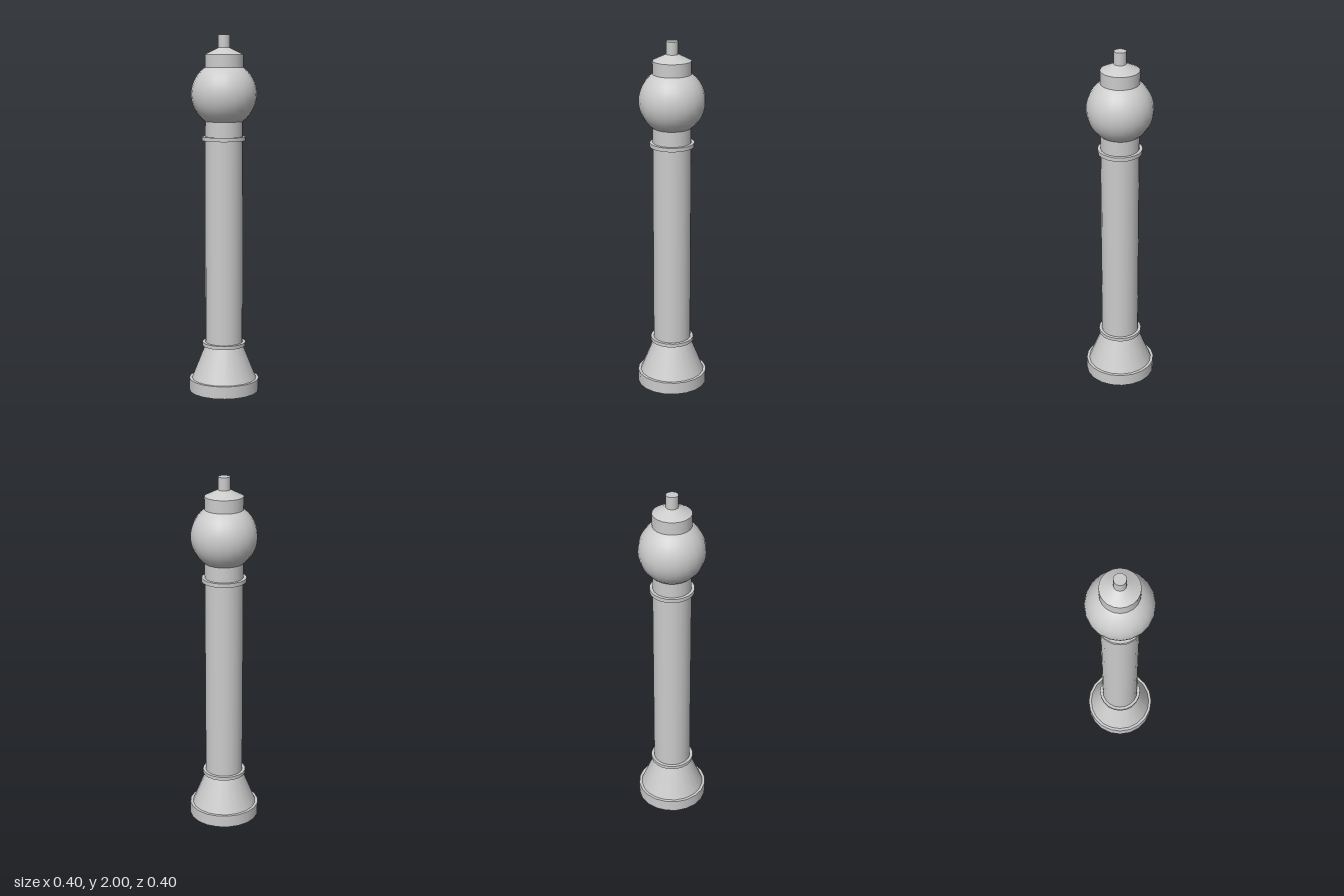
import * as THREE from 'three';

const SIDES = 20;

export function createModel() {
  const group = new THREE.Group();
  const material = new THREE.MeshStandardMaterial({ color: 0xcccccc });

  const add = (name, geometry, y) => {
    const mesh = new THREE.Mesh(geometry, material);
    mesh.name = name;
    mesh.position.y = y;
    group.add(mesh);
  };
  // Round section from height y0 to y1
  const section = (name, y0, y1, bottom, top = bottom) =>
    add(name, new THREE.CylinderGeometry(top, bottom, y1 - y0, SIDES), (y0 + y1) / 2);

  // Foot and flared pedestal
  section('basePlinth', 0, 0.07, 0.198);
  section('flaredPedestal', 0.07, 0.26, 0.182, 0.106);

  // Shaft with a ring near each end
  section('lowerRing', 0.26, 0.28, 0.123);
  section('shaft', 0.26, 1.56, 0.106);
  section('upperRing', 1.422, 1.444, 0.123);

  // Globe
  add('globe', new THREE.SphereGeometry(0.182, SIDES, 20), 1.676);

  // Cap, sloped roof and finial
  section('cap', 1.79, 1.895, 0.106);
  section('capRoof', 1.895, 1.93, 0.106, 0.033);
  section('finial', 1.92, 2, 0.033);

  return group;
}
